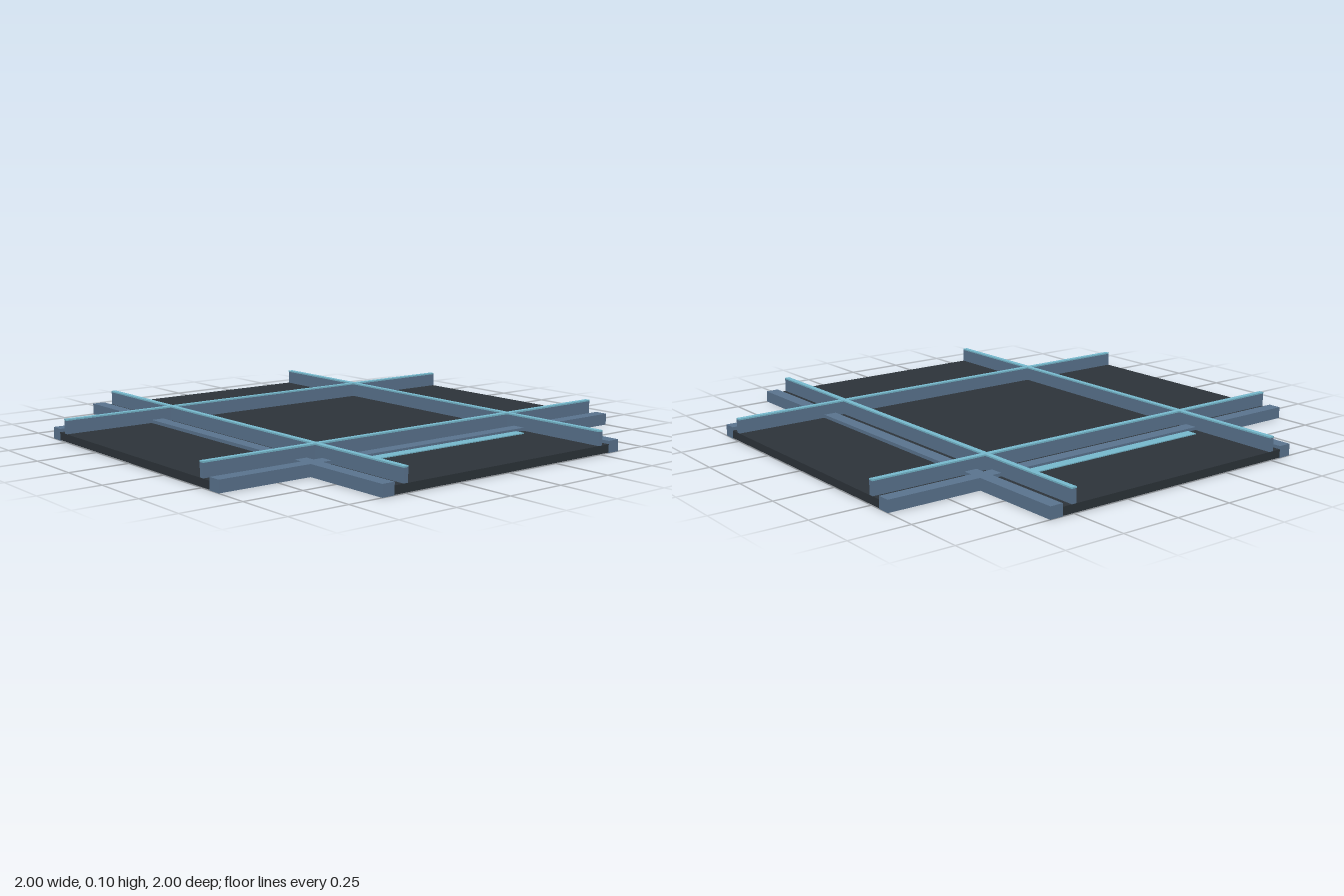
import * as THREE from 'three';

export function createModel() {
  const model = new THREE.Group();
  const floorMat = new THREE.MeshStandardMaterial({ color: 0x2d343a });
  const frameMat = new THREE.MeshStandardMaterial({ color: 0x5b7590 });
  const lightMat = new THREE.MeshStandardMaterial({ color: 0x78bbd0 });
  floorMat.name = 'dark floor';
  frameMat.name = 'blue steel';
  lightMat.name = 'pale cyan';

  // Box spanning y0..y1, centred on x and z
  function slab(parent, name, mat, w, d, y0, y1, x = 0, z = 0) {
    const mesh = new THREE.Mesh(new THREE.BoxGeometry(w, y1 - y0, d), mat);
    mesh.name = name;
    mesh.position.set(x, (y0 + y1) / 2, z);
    parent.add(mesh);
  }

  // Two crossing corridors, each with a deck, curbs and capped rails
  ['lengthwise', 'crosswise'].forEach((name, i) => {
    const corridor = new THREE.Group();
    corridor.name = name + 'Corridor';
    corridor.rotation.y = i * Math.PI / 2;
    model.add(corridor);
    // the second deck is a hair lower so the crossing stays clean
    slab(corridor, 'deck', floorMat, 1.1, 2, 0.002 + i * 0.0005, 0.035 - i * 0.0005);
    for (const side of [-1, 1]) {
      slab(corridor, 'curb', frameMat, 0.055, 2, 0, 0.048, side * 0.578);
      slab(corridor, 'rail', frameMat, 0.02, 2, 0.035, 0.09, side * 0.5);
      slab(corridor, 'railCap', lightMat, 0.022, 2, 0.09, 0.096, side * 0.5);
    }
  });

  // Light strips on the deck beside the front and back curbs
  for (const side of [-1, 1]) {
    slab(model, 'lightStrip', lightMat, 0.89, 0.046, 0.035, 0.039, 0, side * 0.628);
  }
  return model;
}
